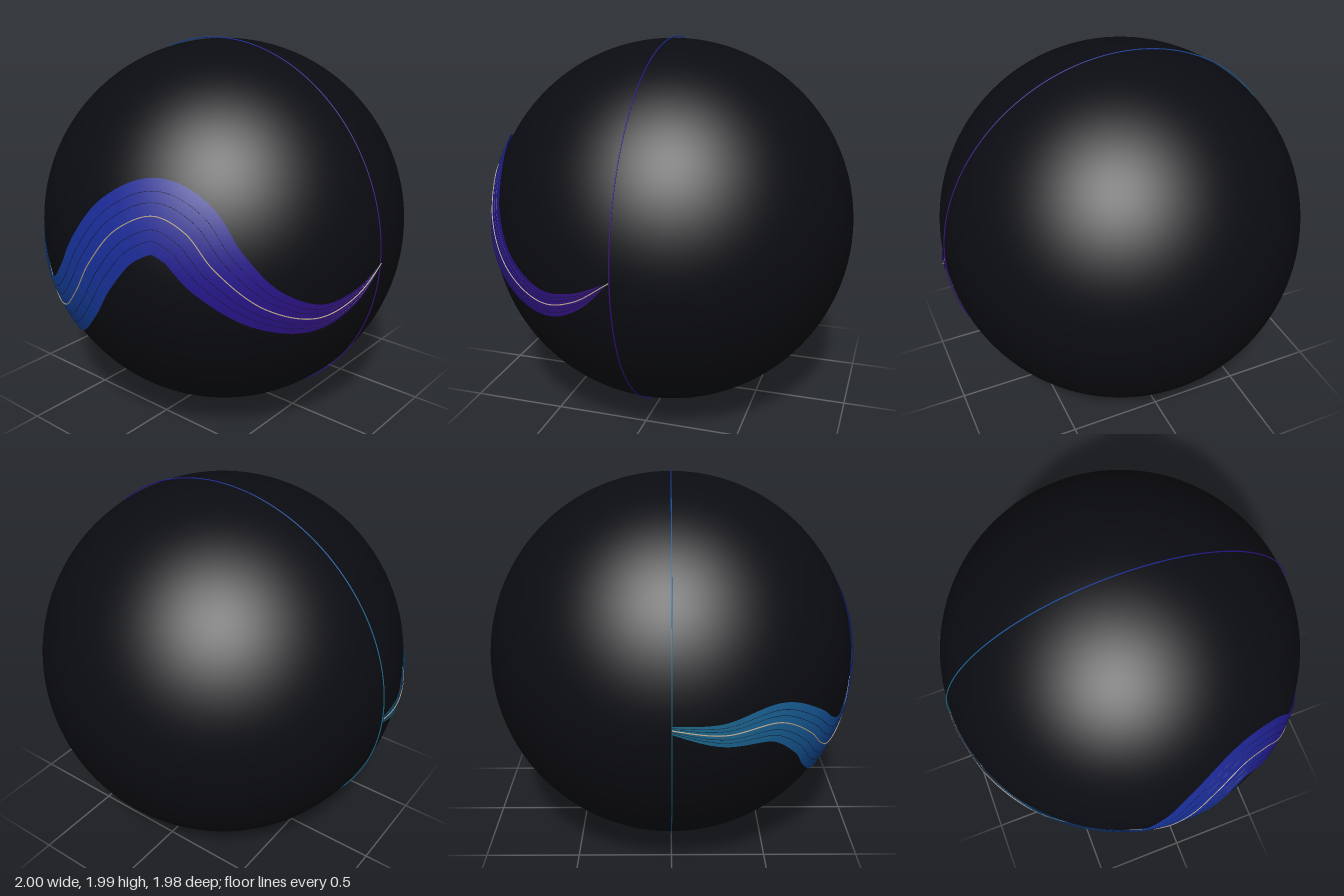
import * as THREE from 'three';

const CENTER_Y = 1;
const RAMP = [0x1a6b88, 0x1552a0, 0x17309a, 0x22158a, 0x3c1080].map((c) => new THREE.Color(c));

// Colour from teal on the model's right (0) to purple on its left (1)
function rampColor(t) {
  const f = THREE.MathUtils.clamp(t, 0, 1) * (RAMP.length - 1);
  const i = Math.min(Math.floor(f), RAMP.length - 2);
  return RAMP[i].clone().lerp(RAMP[i + 1], f - i);
}

function paint(color, side = THREE.FrontSide) {
  return new THREE.MeshStandardMaterial({ color, side });
}

// Wave path: longitude in degrees, sine of latitude, angular half width
const wave = new THREE.CatmullRomCurve3([
  [-90, -0.02, 0.02], [-76, -0.06, 0.06], [-59.4, -0.045, 0.1], [-46.8, -0.16, 0.125],
  [-38.6, -0.273, 0.145], [-29.9, -0.336, 0.16], [-18.3, -0.294, 0.16], [-7.5, -0.14, 0.16],
  [0, 0.05, 0.165], [8.9, 0.237, 0.17], [19.8, 0.322, 0.175], [29.1, 0.263, 0.17],
  [37.1, 0.1, 0.15], [50.7, -0.1, 0.11], [66.5, -0.191, 0.075], [78.5, -0.14, 0.045],
  [90, -0.01, 0.002],
].map(([lon, s, w]) => new THREE.Vector3(THREE.MathUtils.degToRad(lon), Math.asin(s), w)));

function direction(p) {
  return new THREE.Vector3(
    Math.sin(p.x) * Math.cos(p.y), Math.sin(p.y), Math.cos(p.x) * Math.cos(p.y));
}

// Point on the wave: t along it, s from -1 to 1 across it
function wavePoint(t, s, radius) {
  const p = wave.getPoint(t);
  const n = direction(p);
  const ahead = direction(wave.getPoint(Math.min(t + 0.002, 1)));
  const behind = direction(wave.getPoint(Math.max(t - 0.002, 0)));
  const across = n.clone().cross(ahead.sub(behind)).normalize();
  const a = s * p.z;
  return n.multiplyScalar(Math.cos(a)).addScaledVector(across, Math.sin(a)).multiplyScalar(radius);
}

// One curved strip of the ribbon between t0 and t1
function ribbonStrip(t0, t1, radius) {
  const along = 5, wide = 10;
  const pos = [], nor = [], index = [];
  for (let i = 0; i <= along; i++) {
    for (let j = 0; j <= wide; j++) {
      const p = wavePoint(t0 + (t1 - t0) * i / along, j / wide * 2 - 1, radius);
      pos.push(...p.toArray());
      nor.push(...p.normalize().toArray());
      if (i < along && j < wide) {
        const a = i * (wide + 1) + j, b = a + wide + 1;
        index.push(a, b, a + 1, b, b + 1, a + 1);
      }
    }
  }
  const g = new THREE.BufferGeometry();
  g.setAttribute('position', new THREE.Float32BufferAttribute(pos, 3));
  g.setAttribute('normal', new THREE.Float32BufferAttribute(nor, 3));
  g.setIndex(index);
  return g;
}

// Thin line running along the wave
function waveLine(s, radius, thickness) {
  const pts = [];
  for (let i = 0; i <= 120; i++) pts.push(wavePoint(i / 120, s, radius));
  return new THREE.TubeGeometry(new THREE.CatmullRomCurve3(pts), 240, thickness, 6);
}

export function createModel() {
  const model = new THREE.Group();
  model.name = 'orb';
  const add = (parent, name, geometry, material) => {
    const mesh = new THREE.Mesh(geometry, material);
    mesh.name = name;
    parent.add(mesh);
    return mesh;
  };
  const body = new THREE.Group();
  body.position.y = CENTER_Y;
  model.add(body);

  // Dark ball
  add(body, 'sphere', new THREE.SphereGeometry(0.983, 128, 96), paint(0x0b0c12));

  // Hairline ring around the side, coloured from side to side
  const ring = new THREE.Group();
  ring.name = 'ring';
  body.add(ring);
  const arcs = 32, step = Math.PI * 2 / arcs;
  for (let i = 0; i < arcs; i++) {
    const t = (Math.cos((i + 0.5) * step) + 1) / 2;
    const arc = add(ring, 'ringArc', new THREE.TorusGeometry(0.991, 0.003, 6, 8, step),
      paint(rampColor(t)));
    arc.rotation.z = i * step;
  }

  // Wavy ribbon across the front, in strips of changing colour
  const ribbon = new THREE.Group();
  ribbon.name = 'ribbon';
  body.add(ribbon);
  const strips = 40;
  for (let i = 0; i < strips; i++) {
    add(ribbon, 'ribbonStrip', ribbonStrip(i / strips, (i + 1) / strips, 0.995),
      paint(rampColor((i + 0.5) / strips), THREE.DoubleSide));
  }

  // Bright centre line and fine dark lines beside it
  add(ribbon, 'centreLine', waveLine(0, 0.996, 0.003), paint(0xb8a890));
  for (const s of [-0.65, -0.35, 0.35, 0.65]) {
    add(ribbon, 'fineLine', waveLine(s, 0.995, 0.0013), paint(0x0b1638));
  }
  return model;
}
